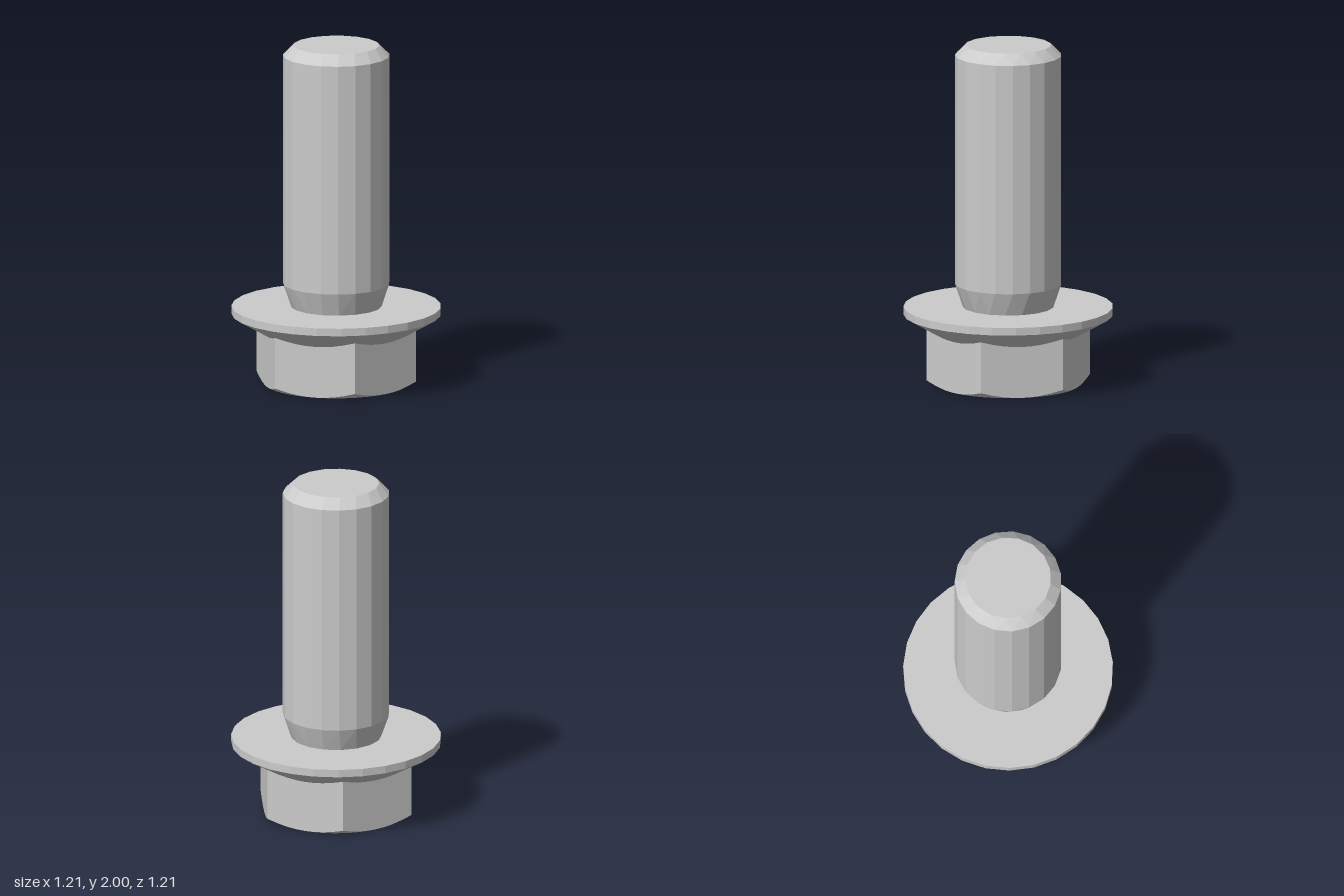
import * as THREE from 'three';

const SLOPE = Math.tan(Math.PI / 6); // cone pitch of the head chamfers
const APOTHEM = 0.418, FLANGE_R = 0.607, FLANGE_Y = 0.41, FLANGE_TOP = 0.455;

// Closed ring of points, counter-clockwise from above; r and y may depend on the angle.
function ring(r, y, count, startDeg) {
  return Array.from({ length: count }, (_, i) => {
    const deg = startDeg + (360 * i) / count;
    const a = THREE.MathUtils.degToRad(deg);
    const radius = typeof r === 'function' ? r(deg) : r;
    const height = typeof y === 'function' ? y(radius) : y;
    return new THREE.Vector3(radius * Math.cos(a), height, -radius * Math.sin(a));
  });
}

const centre = (y) => [new THREE.Vector3(0, y, 0)];

// Joins rings from bottom to top; neighbours may have different point counts.
function loft(name, rings, material) {
  const tris = [];
  for (let k = 0; k + 1 < rings.length; k++) {
    const a = rings[k], b = rings[k + 1];
    const endA = a.length > 1 ? a.length : 0;
    const endB = b.length > 1 ? b.length : 0;
    let i = 0, j = 0;
    while (i < endA || j < endB) {
      const a0 = a[i % a.length], a1 = a[(i + 1) % a.length];
      const b0 = b[j % b.length], b1 = b[(j + 1) % b.length];
      const stepA = j >= endB || (i < endA && a1.distanceTo(b0) <= b1.distanceTo(a0));
      if (stepA) { tris.push(a0, a1, b0); i++; }
      else { tris.push(a0, b1, b0); j++; }
    }
  }
  const geometry = new THREE.BufferGeometry().setFromPoints(tris);
  geometry.computeVertexNormals();
  const mesh = new THREE.Mesh(geometry, material);
  mesh.name = name;
  return mesh;
}

export function createModel() {
  const group = new THREE.Group();
  group.name = 'flangeBolt';
  const material = new THREE.MeshStandardMaterial({ color: 0xcccccc, flatShading: true });

  // Hexagon outline, turned 5 degrees
  const hexRadius = (deg) => {
    const fromMid = ((deg + 365) % 60) - 30;
    return APOTHEM / Math.cos(THREE.MathUtils.degToRad(fromMid));
  };
  const hexSteps = 48;
  const hexBottom = ring(hexRadius, (r) => (r - APOTHEM) * SLOPE, hexSteps, -5);
  const hexTop = ring(hexRadius, (r) => FLANGE_Y - (FLANGE_R - r) * SLOPE, hexSteps, -5);

  // Hex head: flat round end, chamfered corners, scalloped upper edge
  group.add(loft('hexHead', [
    centre(0), ring(APOTHEM, 0, hexSteps, -5), hexBottom, hexTop,
  ], material));

  // Flange: conical underside, thin rim, flat seat around the shank
  const neck = ring(0.263, FLANGE_TOP, 17, 10.28);
  group.add(loft('flange', [
    hexTop, ring(FLANGE_R, FLANGE_Y, 27, 5), ring(FLANGE_R, FLANGE_TOP, 27, 5), neck,
  ], material));

  // Shank: tapered neck, straight body, chamfered tip
  group.add(loft('shank', [
    neck, ring(0.309, 0.59, 19, 0), ring(0.309, 1.94, 19, 0),
    ring(0.249, 2, 17, 10.28), centre(2),
  ], material));

  return group;
}
